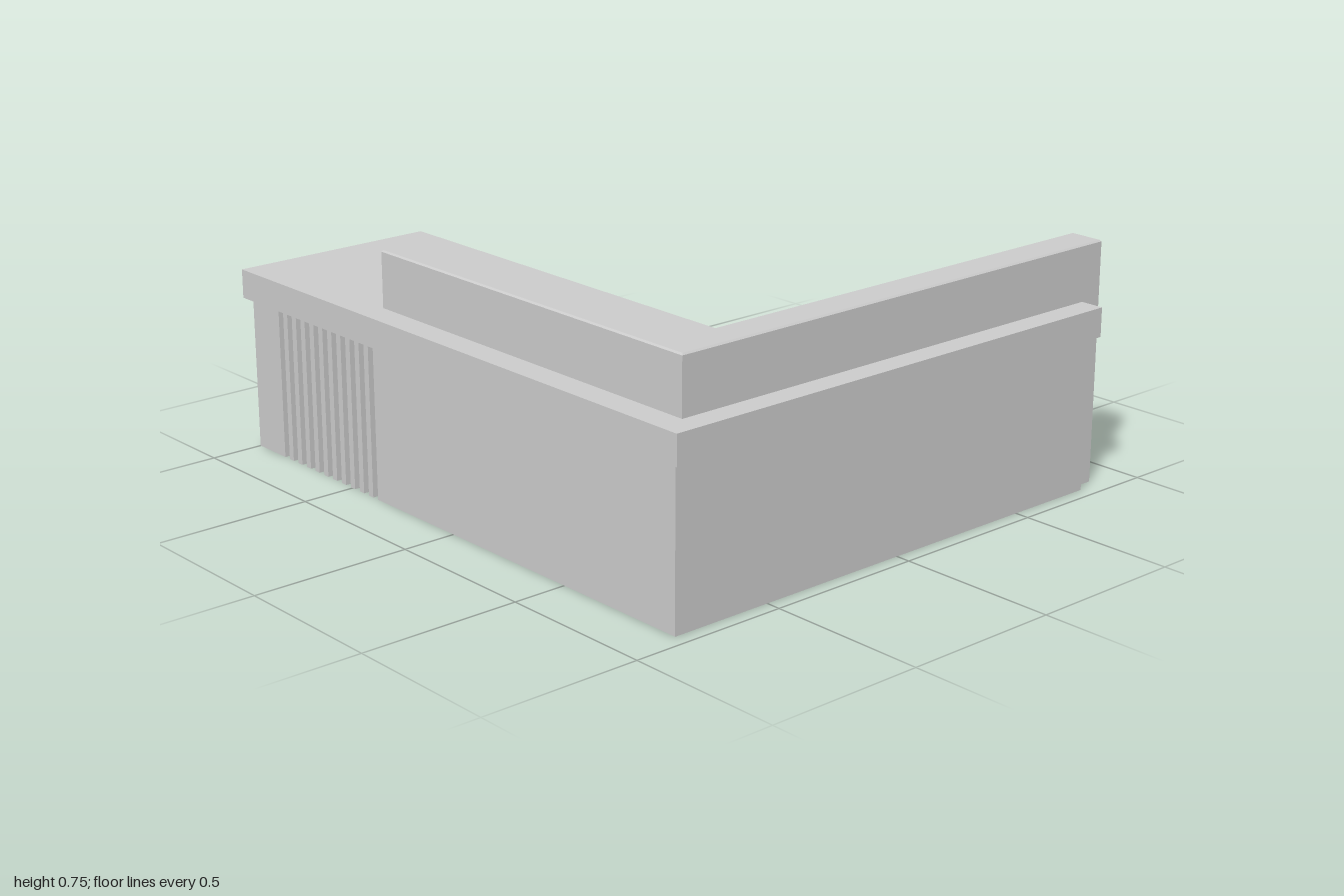
import * as THREE from 'three';

const grey = new THREE.MeshStandardMaterial({ color: 0xcccccc, flatShading: true });

// Floor plan given as [x, z] corners, raised from y0 to y1, with an optional small bevel
function plan(name, corners, y0, y1, bevel = 0) {
  const shape = new THREE.Shape(corners.map(([x, z]) => new THREE.Vector2(x, -z)));
  const geometry = new THREE.ExtrudeGeometry(shape, {
    depth: y1 - y0 - 2 * bevel,
    bevelEnabled: bevel > 0,
    bevelThickness: bevel,
    bevelSize: bevel,
    bevelOffset: -bevel,
    bevelSegments: 1,
  });
  geometry.rotateX(-Math.PI / 2).translate(0, y0 + bevel, 0);
  const mesh = new THREE.Mesh(geometry, grey);
  mesh.name = name;
  return mesh;
}

// Box given by its extents
function block(name, x0, x1, y0, y1, z0, z1) {
  const mesh = new THREE.Mesh(new THREE.BoxGeometry(x1 - x0, y1 - y0, z1 - z0), grey);
  mesh.position.set((x0 + x1) / 2, (y0 + y1) / 2, (z0 + z1) / 2);
  mesh.name = name;
  return mesh;
}

export function createModel() {
  const model = new THREE.Group();
  model.name = 'cornerCounter';

  const back = -0.79, inner = 0.19, wing = 0.43;
  const baseFront = 0.83, topY = 0.58, underY = 0.49;
  const slotStart = -0.861, slotEnd = -0.369;

  // Solid L-shaped body and the end block beyond the slots
  model.add(plan('body', [
    [slotEnd, baseFront], [0.955, baseFront], [0.955, back],
    [wing, back], [wing, inner], [slotEnd, inner],
  ], 0, underY));
  model.add(block('endBlock', -1, slotStart, 0, underY, inner, baseFront));

  // Upright slats with see-through gaps between them
  const slats = new THREE.Group();
  slats.name = 'slats';
  const count = 10, width = 0.022;
  const gap = (slotEnd - slotStart - count * width) / (count + 1);
  for (let i = 0; i < count; i++) {
    const x = slotStart + gap + i * (width + gap);
    slats.add(block('slat', x, x + width, 0, underY, inner, baseFront));
  }
  model.add(slats);

  // Countertop overhanging the two outer sides
  model.add(plan('countertop', [
    [-1, 0.865], [1, 0.865], [1, back], [wing, back], [wing, inner], [-1, inner],
  ], underY, topY));

  // Raised ledge on the countertop and the end panel carrying it to the floor
  model.add(plan('ledge', [
    [-0.38, 0.78], [0.925, 0.78], [0.925, -0.865],
    [0.815, -0.865], [0.815, 0.65], [-0.38, 0.65],
  ], topY - 0.005, 0.755, 0.005));
  model.add(block('endPanel', 0.815, 0.925, 0, topY + 0.01, -0.865, back));

  return model;
}
